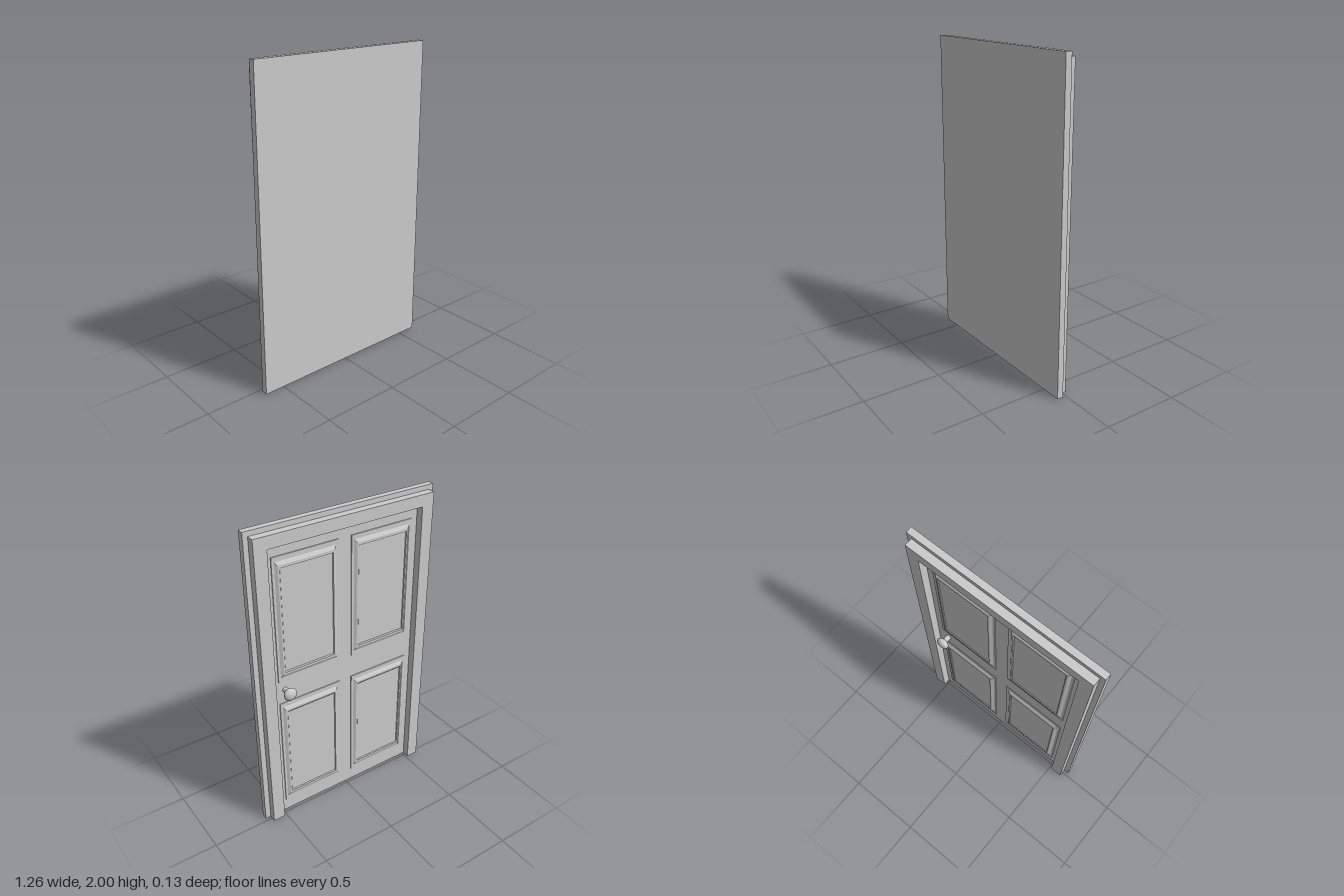
import * as THREE from 'three';

const material = new THREE.MeshStandardMaterial({ color: 0xcccccc, flatShading: true });
const smooth = new THREE.MeshStandardMaterial({ color: 0xcccccc });

const FACE = 0.02; // z of the door leaf surface; the decorated side looks toward -z

function add(parent, name, geometry, mat = material) {
  const mesh = new THREE.Mesh(geometry, mat);
  mesh.name = name;
  parent.add(mesh);
  return mesh;
}

// Outline in x/y extruded from z0 to z1
function slab(points, z0, z1) {
  const shape = new THREE.Shape(points.map(([x, y]) => new THREE.Vector2(x, y)));
  const geometry = new THREE.ExtrudeGeometry(shape, { depth: z1 - z0, bevelEnabled: false });
  return geometry.translate(0, 0, z0);
}

// Moulded panel: rectangular rings [inset x, inset y, height above the leaf]
const RINGS = [
  [0, 0, 0], [0.002, 0.002, 0.003], [0.018, 0.031, 0.003],
  [0.034, 0.052, 0.014], [0.044, 0.066, 0.014], [0.048, 0.073, 0.009],
];

function panelGeometry(width, height) {
  const positions = [];
  const index = [];
  for (const [ix, iy, rise] of RINGS) {
    const x = width / 2 - ix;
    const y = height / 2 - iy;
    for (const [sx, sy] of [[-1, -1], [1, -1], [1, 1], [-1, 1]]) positions.push(sx * x, sy * y, -rise);
  }
  for (let r = 0; r < RINGS.length - 1; r++) {
    for (let k = 0; k < 4; k++) {
      const a = r * 4 + k;
      const b = r * 4 + (k + 1) % 4;
      index.push(a, a + 4, b, b, a + 4, b + 4);
    }
  }
  const c = (RINGS.length - 1) * 4;
  index.push(c, c + 2, c + 1, c, c + 3, c + 2);
  const indexed = new THREE.BufferGeometry();
  indexed.setAttribute('position', new THREE.Float32BufferAttribute(positions, 3));
  indexed.setIndex(index);
  const geometry = indexed.toNonIndexed();
  geometry.computeVertexNormals();
  return geometry;
}

export function createModel() {
  const door = new THREE.Group();
  door.name = 'door';

  // Door leaf, very slightly narrower at the top
  add(door, 'doorLeaf', slab([[-0.63, 0], [0.63, 0], [0.625, 2], [-0.625, 2]], FACE, 0.06));

  // Surround: two jambs and a head in one piece, open at the threshold
  add(door, 'doorFrame', slab([
    [-0.595, 0], [-0.515, 0], [-0.515, 1.895], [0.515, 1.895],
    [0.515, 0], [0.595, 0], [0.595, 1.97], [-0.595, 1.97],
  ], -0.028, FACE));

  // Four moulded panels
  const panels = new THREE.Group();
  panels.name = 'panels';
  door.add(panels);
  for (const [row, bottom, top] of [['lower', 0.085, 0.867], ['upper', 1.02, 1.822]]) {
    const geometry = panelGeometry(0.432, top - bottom);
    for (const side of [-1, 1]) {
      const panel = add(panels, row + (side > 0 ? 'LeftPanel' : 'RightPanel'), geometry);
      panel.position.set(side * 0.259, (bottom + top) / 2, FACE - 0.0005);
    }
  }

  // Flattened round knob on a short stem
  const handle = new THREE.Group();
  handle.name = 'doorHandle';
  handle.position.set(0.432, 0.957, 0);
  door.add(handle);
  const stem = add(handle, 'knobStem', new THREE.CylinderGeometry(0.017, 0.017, 0.06, 24), smooth);
  stem.rotation.x = Math.PI / 2;
  stem.position.z = -0.008;
  const knob = add(handle, 'knob', new THREE.SphereGeometry(0.042, 32, 20), smooth);
  knob.scale.z = 0.6;
  knob.position.z = -0.04;

  return door;
}
